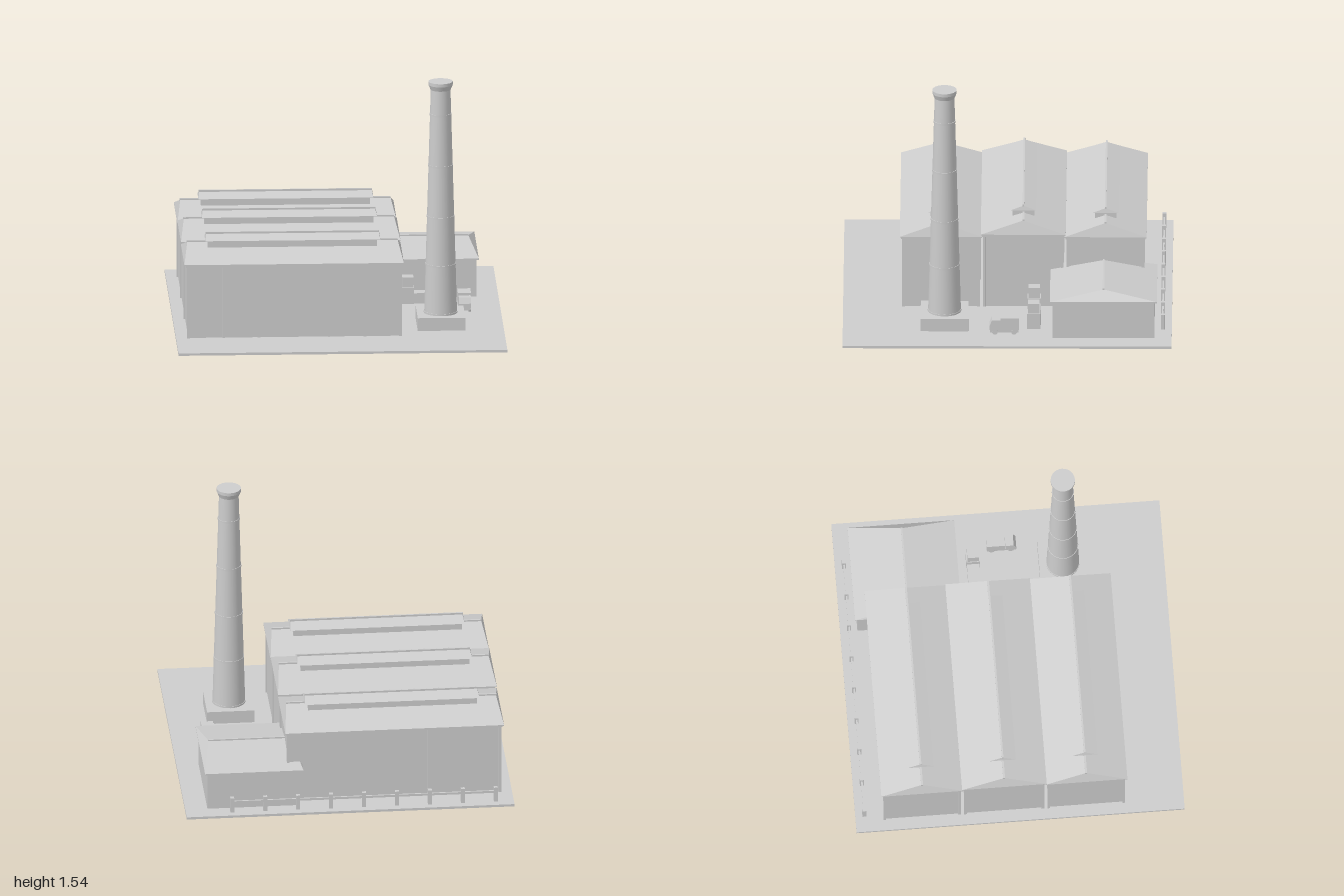
import * as THREE from 'three';

const grey = new THREE.MeshStandardMaterial({ color: 0xcccccc });
grey.name = 'plainGrey';

function add(parent, name, geometry, x = 0, y = 0, z = 0) {
  const mesh = new THREE.Mesh(geometry, grey);
  mesh.name = name;
  mesh.position.set(x, y, z);
  parent.add(mesh);
  return mesh;
}

// Box given by its limits on each axis
function block(parent, name, x0, x1, y0, y1, z0, z1) {
  return add(parent, name, new THREE.BoxGeometry(x1 - x0, y1 - y0, z1 - z0),
    (x0 + x1) / 2, (y0 + y1) / 2, (z0 + z1) / 2);
}

// Pitched roof with the ridge along x and slightly hipped ends
function roof(parent, name, x0, x1, y0, y1, z0, z1, inset) {
  const geometry = new THREE.BoxGeometry(1, 1, 1);
  const p = geometry.attributes.position;
  for (let i = 0; i < p.count; i++) {
    const top = p.getY(i) > 0;
    const x = p.getX(i) > 0 ? x1 - (top ? inset : 0) : x0 + (top ? inset : 0);
    const z = top ? (z0 + z1) / 2 + p.getZ(i) * 0.002 : (p.getZ(i) > 0 ? z1 : z0);
    p.setXYZ(i, x, top ? y1 : y0, z);
  }
  const flat = geometry.toNonIndexed();
  flat.computeVertexNormals();
  return add(parent, name, flat);
}

// One factory hall: walls, pilasters, cornice, roof and ridge lantern
function hall(parent, name, zMid, halfDepth, lift) {
  const g = new THREE.Group();
  g.name = name;
  const wall = 0.46 + lift, eave = 0.478 + lift, ridge = 0.56 + lift;
  const h = halfDepth - 0.022;
  block(g, 'walls', -0.925, 0.365, 0.015, wall, zMid - h, zMid + h);
  for (const side of [-1, 1]) {
    for (let i = 0; i < 7; i++) {
      const x = -0.925 + i * 0.215;
      block(g, 'pilaster', x - 0.009, x + 0.009, 0.015, wall, zMid + side * h - 0.008, zMid + side * h + 0.008);
    }
  }
  block(g, 'cornice', -0.94, 0.378, wall, eave - 0.004, zMid - halfDepth + 0.008, zMid + halfDepth - 0.008);
  block(g, 'eaveEdge', -0.95, 0.385, eave - 0.006, eave, zMid - halfDepth, zMid + halfDepth);
  roof(g, 'roof', -0.95, 0.385, eave, ridge, zMid - halfDepth, zMid + halfDepth, 0.028);
  block(g, 'ridgeCap', -0.925, 0.358, ridge - 0.008, ridge + 0.008, zMid - 0.006, zMid + 0.006);
  block(g, 'lantern', -0.80, 0.23, ridge - 0.03, ridge + 0.024, zMid - 0.066, zMid + 0.066);
  roof(g, 'lanternRoof', -0.815, 0.25, ridge + 0.022, ridge + 0.05, zMid - 0.08, zMid + 0.08, 0.008);
  block(g, 'lanternRidge', -0.81, 0.245, ridge + 0.045, ridge + 0.06, zMid - 0.005, zMid + 0.005);
  parent.add(g);
}

export function createModel() {
  const model = new THREE.Group();
  model.name = 'factory';

  block(model, 'ground', -1, 1, 0, 0.015, -1, 1);

  hall(model, 'frontHall', 0.405, 0.25, 0);
  hall(model, 'middleHall', -0.095, 0.258, 0.015);
  hall(model, 'backHall', -0.595, 0.25, 0);

  // Low side building
  const shed = new THREE.Group();
  shed.name = 'sideBuilding';
  block(shed, 'walls', 0.30, 0.865, 0.015, 0.255, -0.895, -0.275);
  block(shed, 'eaveEdge', 0.28, 0.88, 0.25, 0.258, -0.91, -0.26);
  roof(shed, 'roof', 0.28, 0.88, 0.258, 0.32, -0.91, -0.26, 0.05);
  block(shed, 'ridgeCap', 0.33, 0.832, 0.315, 0.328, -0.59, -0.58);
  model.add(shed);

  // Tapered chimney with bands and a flared crown
  const chimney = new THREE.Group();
  chimney.name = 'chimney';
  chimney.position.set(0.62, 0, 0.382);
  block(chimney, 'plinth', -0.145, 0.145, 0.015, 0.095, -0.145, 0.145);
  const rod = (name, rTop, rBottom, y0, y1) =>
    add(chimney, name, new THREE.CylinderGeometry(rTop, rBottom, y1 - y0, 28), 0, (y0 + y1) / 2, 0);
  rod('shaft', 0.06, 0.1, 0.095, 1.5);
  for (const y of [0.1, 0.4, 0.7, 1.02, 1.34]) {
    const r = 0.103 - 0.04 * (y - 0.095) / 1.405;
    rod('band', r, r, y - 0.006, y + 0.006);
  }
  rod('crownFlare', 0.074, 0.062, 1.495, 1.525);
  rod('crownRim', 0.074, 0.074, 1.525, 1.545);
  model.add(chimney);

  // Yard unit: two upright cabinets joined by a low bench
  const unit = new THREE.Group();
  unit.name = 'yardUnit';
  block(unit, 'lowLink', 0.475, 0.66, 0.015, 0.08, -0.2, -0.125);
  for (const x of [0.443, 0.69]) {
    block(unit, 'cabinetBase', x - 0.038, x + 0.038, 0.015, 0.115, -0.203, -0.12);
    block(unit, 'cabinetTop', x - 0.034, x + 0.034, 0.115, 0.18, -0.196, -0.127);
  }
  model.add(unit);

  // Small truck facing the front
  const truck = new THREE.Group();
  truck.name = 'truck';
  block(truck, 'chassis', 0.745, 0.815, 0.03, 0.048, -0.07, 0.105);
  block(truck, 'cargoBox', 0.74, 0.82, 0.048, 0.122, -0.072, 0.04);
  const side = new THREE.Shape([[0.042, 0.045], [0.108, 0.045], [0.108, 0.072], [0.092, 0.108], [0.042, 0.108]]
    .map(([z, y]) => new THREE.Vector2(-z, y)));
  const cab = add(truck, 'cab', new THREE.ExtrudeGeometry(side, { depth: 0.074, bevelEnabled: false }), 0.743, 0, 0);
  cab.rotation.y = Math.PI / 2;
  for (const x of [0.75, 0.81]) {
    for (const z of [-0.042, 0.075]) {
      const wheel = add(truck, 'wheel', new THREE.CylinderGeometry(0.017, 0.017, 0.014, 14), x, 0.032, z);
      wheel.rotation.z = Math.PI / 2;
    }
  }
  model.add(truck);

  // Rear fence
  const fence = new THREE.Group();
  fence.name = 'rearFence';
  for (let i = 0; i < 9; i++) {
    const x = -0.89 + i * 0.201;
    block(fence, 'fencePost', x - 0.012, x + 0.012, 0.015, 0.11, -0.957, -0.933);
  }
  block(fence, 'fenceRail', -0.89, 0.718, 0.072, 0.086, -0.95, -0.94);
  model.add(fence);

  return model;
}
